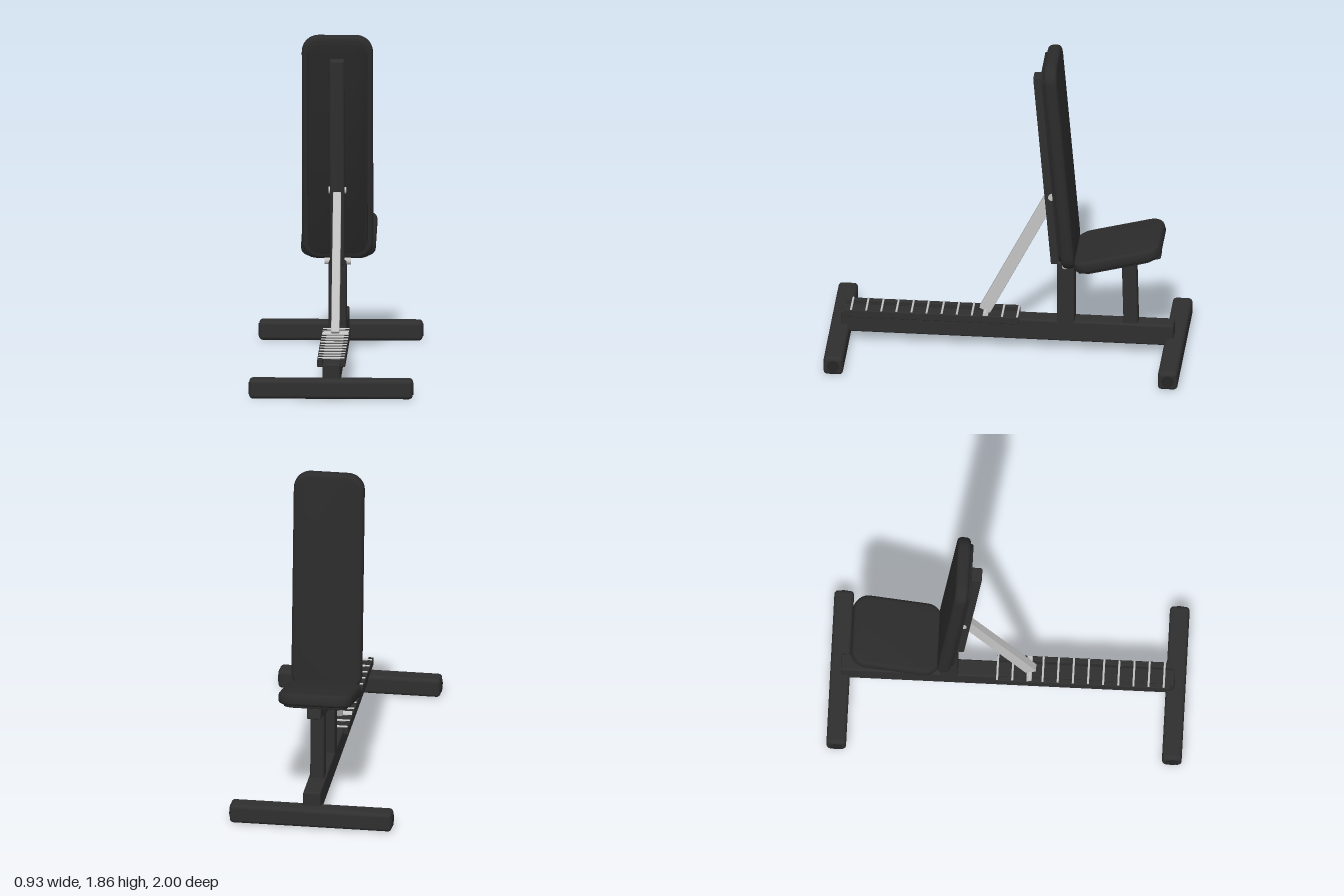
import * as THREE from 'three';
import { RoundedBoxGeometry } from 'three/addons/geometries/RoundedBoxGeometry.js';
import { toCreasedNormals } from 'three/addons/utils/BufferGeometryUtils.js';

const material = (name, color) => {
  const m = new THREE.MeshStandardMaterial({ color });
  m.name = name;
  return m;
};

export function createModel() {
  const frame = material('charcoal frame', 0x2f2f2f);
  const vinyl = material('black vinyl', 0x2b2b2b);
  const backing = material('dark backing', 0x262626);
  const steel = material('brushed steel', 0xc4c4c4);

  const model = new THREE.Group();
  model.name = 'adjustableBench';

  const add = (parent, name, geometry, mat, x, y, z) => {
    const mesh = new THREE.Mesh(geometry, mat);
    mesh.name = name;
    mesh.position.set(x, y, z);
    parent.add(mesh);
    return mesh;
  };

  // Square tube with softened edges
  const bar = (parent, name, w, h, d, x, y, z, r = 0.012, mat = frame) =>
    add(parent, name, new RoundedBoxGeometry(w, h, d, 3, r), mat, x, y, z);

  // Round pin lying across the bench
  const pin = (parent, name, radius, length, x, y, z, mat = steel) => {
    const g = new THREE.CylinderGeometry(radius, radius, length, 20).rotateZ(Math.PI / 2);
    return add(parent, name, g, mat, x, y, z);
  };

  // Rounded panel in the XY plane, centred, with a bevelled rim
  const panel = (w, h, thickness, corner, bevel) => {
    const a = w / 2 - bevel, b = h / 2 - bevel, r = corner - bevel;
    const s = new THREE.Shape();
    s.moveTo(-a + r, -b);
    s.lineTo(a - r, -b);
    s.absarc(a - r, -b + r, r, -Math.PI / 2, 0);
    s.lineTo(a, b - r);
    s.absarc(a - r, b - r, r, 0, Math.PI / 2);
    s.lineTo(-a + r, b);
    s.absarc(-a + r, b - r, r, Math.PI / 2, Math.PI);
    s.lineTo(-a, -b + r);
    s.absarc(-a + r, -b + r, r, Math.PI, Math.PI * 1.5);
    const depth = thickness - 2 * bevel;
    const g = new THREE.ExtrudeGeometry(s, {
      depth, bevelEnabled: true, bevelSize: bevel, bevelThickness: bevel,
      bevelSegments: 5, curveSegments: 10,
    });
    g.translate(0, 0, -depth / 2);
    return toCreasedNormals(g, 0.6);
  };

  // Cross feet with round end plugs
  for (const side of [1, -1]) {
    const foot = new THREE.Group();
    foot.name = side > 0 ? 'frontFoot' : 'rearFoot';
    foot.position.set(0, 0.055, side * 0.945);
    bar(foot, 'footTube', 0.92, 0.11, 0.11, 0, 0, 0, 0.022);
    for (const end of [1, -1]) pin(foot, 'footPlug', 0.036, 0.006, end * 0.46, 0, 0, backing);
    model.add(foot);
  }

  // Base beam and uprights
  bar(model, 'mainBeam', 0.1, 0.128, 1.88, 0, 0.128, 0);
  bar(model, 'backPost', 0.1, 0.39, 0.1, 0, 0.37, -0.33);
  const seatPost = bar(model, 'seatPost', 0.08, 0.42, 0.083, 0, 0.385, -0.692);
  seatPost.rotation.x = 0.025;

  // Adjustment ladder
  for (const side of [1, -1]) {
    bar(model, 'ladderRail', 0.03, 0.045, 0.985, side * 0.064, 0.193, 0.428, 0.005);
  }
  for (let i = 0; i < 12; i++) {
    pin(model, 'ladderRung', 0.006, 0.15, 0, 0.215, -0.058 + i * 0.0853);
  }

  // Backrest: pad, board and spine tube share one tilted group
  const back = new THREE.Group();
  back.name = 'backrest';
  back.position.set(0, 1.215, -0.305);
  back.rotation.x = 0.085;
  add(back, 'backPad', panel(0.4, 1.29, 0.075, 0.095, 0.024), vinyl, 0, 0, 0);
  add(back, 'backBoard', panel(0.34, 1.22, 0.03, 0.08, 0.003), backing, 0, 0, 0.038);
  bar(back, 'backSpine', 0.08, 1.19, 0.066, 0, -0.07, 0.083, 0.008);
  model.add(back);

  // Seat: pad, board and support tube, rising toward the rear
  const seat = new THREE.Group();
  seat.name = 'seat';
  seat.position.set(0, 0.661, -0.628);
  seat.rotation.x = -1.313;
  add(seat, 'seatPad', panel(0.42, 0.515, 0.072, 0.09, 0.024), vinyl, 0, 0, 0);
  add(seat, 'seatBoard', panel(0.36, 0.45, 0.03, 0.07, 0.003), backing, 0, 0, -0.035);
  bar(seat, 'seatTube', 0.08, 0.48, 0.064, 0, -0.02, -0.078, 0.008);
  model.add(seat);

  // Support strut between the spine and the ladder
  const strutTop = new THREE.Vector3(0, 0.975, -0.25);
  const strutFoot = new THREE.Vector3(0, 0.222, 0.13);
  const span = strutTop.clone().sub(strutFoot);
  const mid = strutTop.clone().add(strutFoot).multiplyScalar(0.5);
  const strut = bar(model, 'supportStrut', 0.046, span.length(), 0.068, 0, mid.y, mid.z, 0.004, steel);
  strut.rotation.x = Math.atan2(span.z, span.y);

  // Pivot pins
  pin(model, 'strutTopPin', 0.019, 0.1, 0, 0.975, -0.25);
  pin(model, 'strutFootPin', 0.012, 0.146, 0, 0.218, 0.125);
  pin(model, 'backHingePin', 0.019, 0.15, 0, 0.556, -0.33);

  return model;
}
